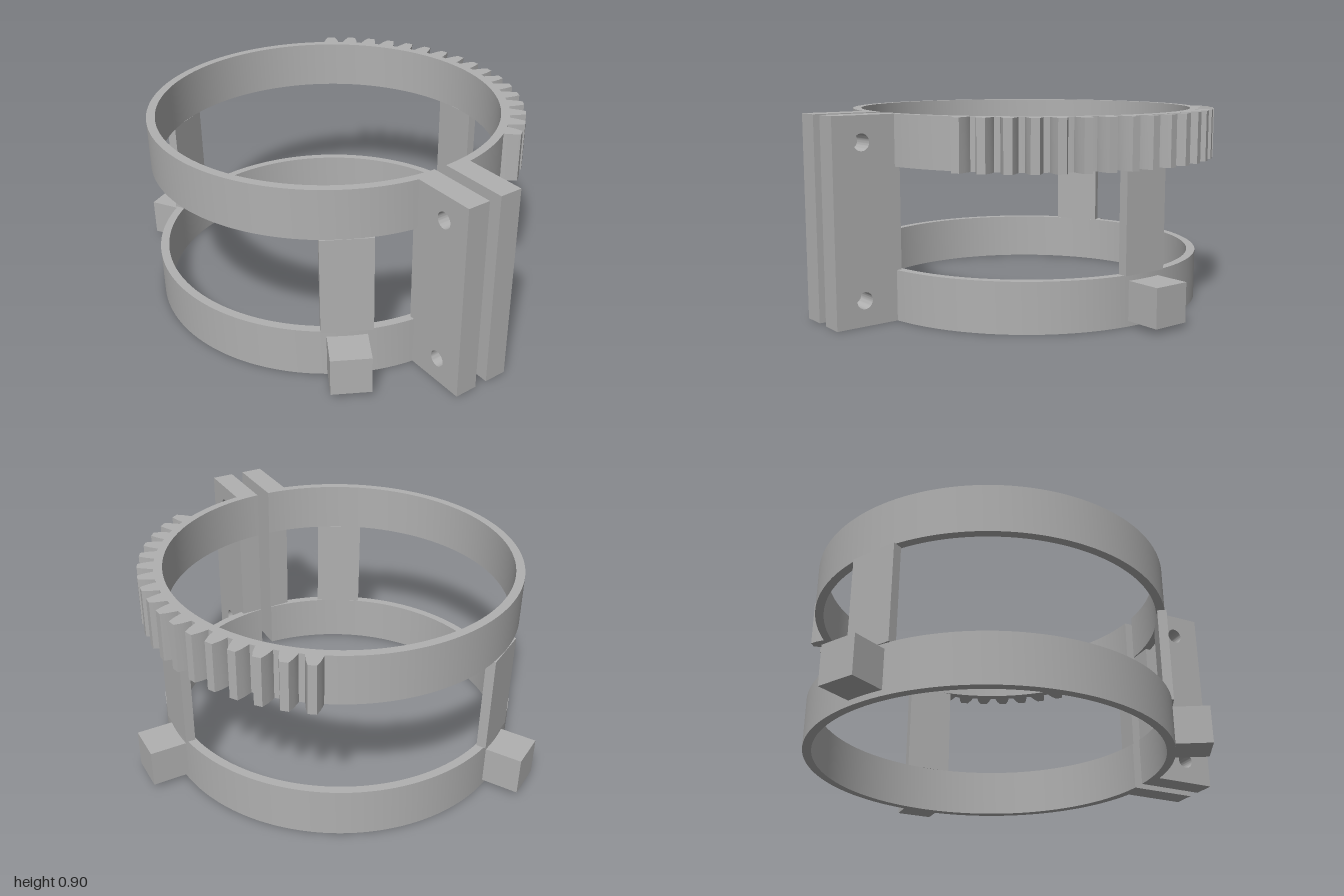
import * as THREE from 'three';
import { toCreasedNormals } from 'three/addons/utils/BufferGeometryUtils.js';

const R_OUT = 0.825, R_IN = 0.786; // ring radii
const SLIT = 0.03;                 // half width of the slit at the front
const BAND = 0.225, HEIGHT = 0.9;  // ring band height, overall height
const deg = THREE.MathUtils.degToRad;

// Split ring in plan, with the slit facing the front
function ringShape() {
  const a = Math.asin(SLIT / R_OUT), b = Math.asin(SLIT / R_IN);
  const s = new THREE.Shape();
  s.absarc(0, 0, R_OUT, -Math.PI / 2 + a, Math.PI * 1.5 - a, false);
  s.absarc(0, 0, R_IN, Math.PI * 1.5 - b, -Math.PI / 2 + b, true);
  s.closePath();
  return s;
}

// One gear tooth in plan, centred on angle c; [radius, half angle in degrees]
function toothShape(c) {
  const flank = [[0.81, 2.6], [0.829, 2.55], [0.865, 1.95], [0.897, 1.15]];
  const pt = (r, a) => new THREE.Vector2(r * Math.cos(c + deg(a)), r * Math.sin(c + deg(a)));
  return new THREE.Shape([
    ...flank.map(([r, a]) => pt(r, -a)),
    ...flank.slice().reverse().map(([r, a]) => pt(r, a)),
  ]);
}

// Extrude a plan shape upwards
function extrudeUp(shape, height) {
  const g = new THREE.ExtrudeGeometry(shape, { depth: height, bevelEnabled: false, curveSegments: 120 });
  g.rotateX(-Math.PI / 2);
  return toCreasedNormals(g, deg(25));
}

export function createModel() {
  const grey = new THREE.MeshStandardMaterial({ color: 0xb0b0b0 });
  grey.name = 'grey plastic';

  const model = new THREE.Group();
  model.name = 'splitRingClamp';
  const body = new THREE.Group();
  body.name = 'ringBody';
  body.position.set(-0.08, 0, -0.105);
  model.add(body);

  const add = (parent, name, geometry) => {
    const m = new THREE.Mesh(geometry, grey);
    m.name = name;
    parent.add(m);
    return m;
  };

  // Two split rings
  const ring = extrudeUp(ringShape(), BAND);
  add(body, 'lowerRing', ring);
  add(body, 'upperRing', ring).position.y = HEIGHT - BAND;

  // Gear sector on the left of the upper ring
  const gear = new THREE.Group();
  gear.name = 'gearTeeth';
  gear.position.y = HEIGHT - BAND;
  body.add(gear);
  const pitch = (Math.PI * 2) / 52;
  for (let i = -8; i <= 8; i++) {
    add(gear, 'gearTooth', extrudeUp(toothShape(deg(-1.1) + i * pitch), BAND));
  }

  // Three pillars between the rings, each with a small block at the foot
  for (let i = 0; i < 3; i++) {
    const arm = new THREE.Group();
    arm.name = 'pillarWithBlock';
    arm.rotation.y = (i * Math.PI * 2) / 3;
    body.add(arm);
    add(arm, 'pillar', new THREE.BoxGeometry(0.043, HEIGHT - 2 * BAND + 0.002, 0.225))
      .position.set(0.8055, HEIGHT / 2, 0);
    add(arm, 'footBlock', new THREE.BoxGeometry(0.18, 0.175, 0.175))
      .position.set(0.895, 0.1125, 0);
  }

  // Pair of clamp flanges with two bolt holes each
  const z0 = 0.685, z1 = 1.0, thick = 0.105;
  const plate = new THREE.Shape([
    new THREE.Vector2(-z1, 0), new THREE.Vector2(-z0, 0),
    new THREE.Vector2(-z0, HEIGHT), new THREE.Vector2(-z1, HEIGHT),
  ]);
  for (const y of [0.113, 0.787]) {
    const hole = new THREE.Path();
    hole.absarc(-0.866, y, 0.037, 0, Math.PI * 2, true);
    plate.holes.push(hole);
  }
  const flange = toCreasedNormals(
    new THREE.ExtrudeGeometry(plate, { depth: thick, bevelEnabled: false, curveSegments: 24 })
      .rotateY(Math.PI / 2), deg(25));
  add(model, 'leftFlange', flange).position.x = -0.08 + SLIT;
  add(model, 'rightFlange', flange).position.x = -0.08 - SLIT - thick;

  return model;
}
